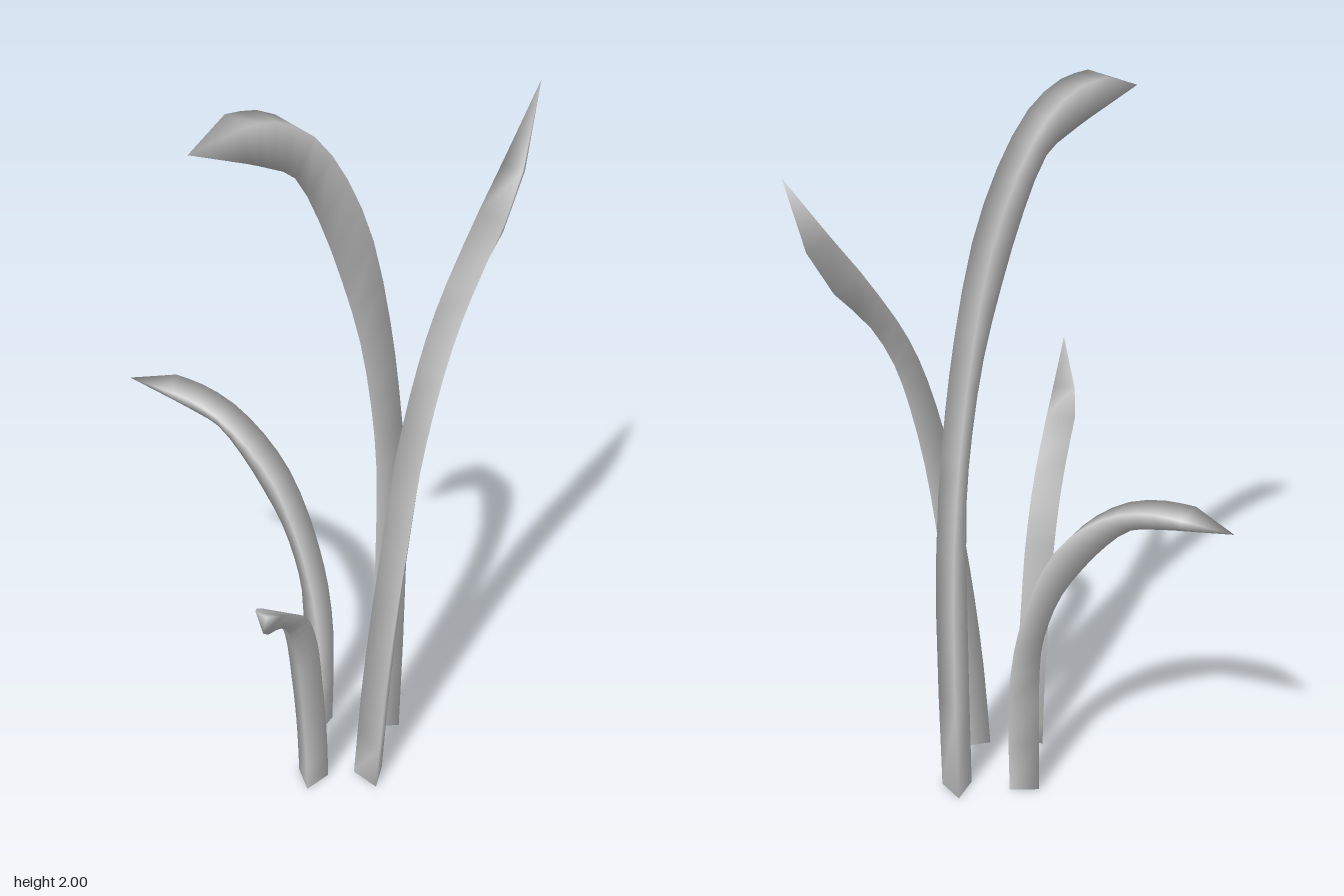
import * as THREE from 'three';

const HALF = 0.0425; // half the width of a leaf

// Each profile pairs points (reach, height) on the broad back with points on the keel.
// Heights run from 0 to 1 and are stretched per leaf.
const drooping = {
  back: [[0, 0], [0, 0.3], [0.02, 0.47], [0.05, 0.59], [0.085, 0.69], [0.145, 0.81], [0.225, 0.9], [0.32, 0.965], [0.42, 0.995], [0.505, 1]],
  keel: [[0.073, 0], [0.074, 0.3], [0.081, 0.46], [0.105, 0.56], [0.145, 0.66], [0.205, 0.755], [0.275, 0.845], [0.345, 0.91], [0.41, 0.93], [0.477, 0.945]],
  tip: [0.63, 0.975, 0],
};
const upright = {
  back: [[0, 0], [0.02, 0.145], [0.05, 0.28], [0.085, 0.4], [0.125, 0.53], [0.17, 0.62], [0.225, 0.7], [0.29, 0.765], [0.4, 0.85]],
  keel: [[0.07, 0], [0.09, 0.15], [0.12, 0.3], [0.15, 0.42], [0.18, 0.52], [0.225, 0.62], [0.27, 0.69], [0.34, 0.755], [0.45, 0.82]],
  // narrowing section just before the one-sided point
  shoulder: { back: [0.48, 0.905], keel: [0.535, 0.89], right: 0.0225, keelZ: -0.012 },
  tip: [0.613, 1, -HALF],
};

const spline = (points) =>
  new THREE.CatmullRomCurve3(points.map(([s, y]) => new THREE.Vector3(s, y, 0)));

// Triangular section swept along the profile and closed to a point
function leafGeometry({ back, keel, shoulder, tip }) {
  const positions = [], index = [];
  const ring = (b, k, right, keelZ) =>
    positions.push(b[0], b[1], -HALF, b[0], b[1], right, k[0], k[1], keelZ);

  const backCurve = spline(back), keelCurve = spline(keel);
  const steps = (back.length - 1) * 2;
  let rings = steps + 1;
  for (let i = 0; i <= steps; i++) {
    ring(backCurve.getPoint(i / steps).toArray(), keelCurve.getPoint(i / steps).toArray(), HALF, 0);
  }
  if (shoulder) {
    ring(shoulder.back, shoulder.keel, shoulder.right, shoulder.keelZ);
    rings++;
  }

  // side walls
  for (let i = 0; i < rings - 1; i++) {
    for (let j = 0; j < 3; j++) {
      const a = i * 3 + j, b = i * 3 + (j + 1) % 3;
      index.push(a, b, b + 3, a, b + 3, a + 3);
    }
  }
  // pointed end
  const last = (rings - 1) * 3, point = rings * 3;
  positions.push(...tip);
  for (let j = 0; j < 3; j++) index.push(last + j, last + (j + 1) % 3, point);

  // flat foot with its own corners, so its edge stays sharp
  positions.push(...positions.slice(0, 9));
  index.push(point + 1, point + 3, point + 2);

  const geometry = new THREE.BufferGeometry();
  geometry.setAttribute('position', new THREE.Float32BufferAttribute(positions, 3));
  geometry.setIndex(index);
  geometry.computeVertexNormals();
  return geometry;
}

export function createModel() {
  const group = new THREE.Group();
  group.name = 'grassTuft';
  const material = new THREE.MeshStandardMaterial({ color: 0xcccccc });
  const droopingLeaf = leafGeometry(drooping);
  const uprightLeaf = leafGeometry(upright);

  // name, geometry, foot x and z, direction of lean (x, z), height
  const leaves = [
    ['tallDroopingLeaf', droopingLeaf, 0.228, 0.187, -0.985, -0.17, 2],
    ['shortDroopingLeaf', droopingLeaf, 0.065, 0.08, -0.26, -0.966, 1.026],
    ['tallUprightLeaf', uprightLeaf, -0.013, 0.3125, 1, 0, 1.9],
    ['shortUprightLeaf', uprightLeaf, -0.095, 0.19, -0.866, 0.5, 1.05],
  ];
  for (const [name, geometry, x, z, dx, dz, height] of leaves) {
    const leaf = new THREE.Mesh(geometry, material);
    leaf.name = name;
    leaf.position.set(x, 0, z);
    leaf.rotation.y = Math.atan2(-dz, dx);
    leaf.scale.y = height;
    group.add(leaf);
  }
  return group;
}
